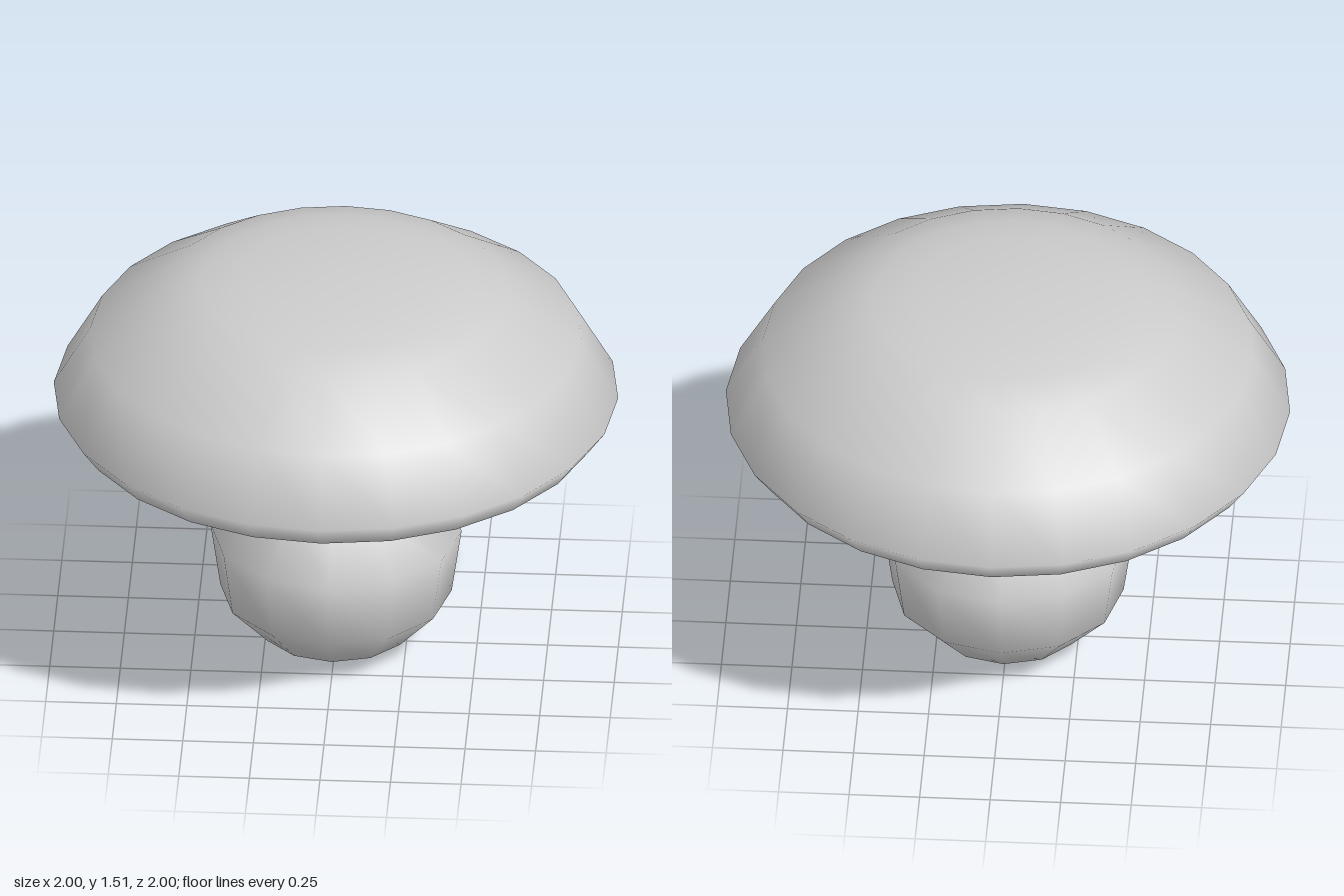
import * as THREE from 'three';
import { mergeVertices } from 'three/addons/utils/BufferGeometryUtils.js';

const material = new THREE.MeshStandardMaterial({ color: 0xcccccc });

// Lathe from [radius, height] pairs, listed bottom to top, first vertex on +x
function turned(profile, sides) {
  const points = profile.map(([r, y]) => new THREE.Vector2(r, y));
  return new THREE.LatheGeometry(points, sides, Math.PI / 2);
}

// Weld the seam and shade smoothly
function smooth(geometry) {
  geometry.deleteAttribute('uv');
  geometry.deleteAttribute('normal');
  const welded = mergeVertices(geometry, 1e-4);
  welded.computeVertexNormals();
  return welded;
}

function part(name, geometry) {
  const mesh = new THREE.Mesh(geometry, material);
  mesh.name = name;
  return mesh;
}

export function createModel() {
  const group = new THREE.Group();
  group.name = 'mushroom';

  // Domed cap with a short inward lip
  group.add(part('cap', smooth(turned([
    [0.94, 0.935], [1, 1.02], [0.87, 1.25], [0.61, 1.42],
    [0.48, 1.463], [0.33, 1.495], [0, 1.517],
  ], 24))));

  // Flat underside
  const underside = part('capUnderside', new THREE.CircleGeometry(0.94, 24));
  underside.rotation.x = Math.PI / 2;
  underside.position.y = 0.935;
  group.add(underside);

  // Six-sided stem, flaring slightly towards the cap
  group.add(part('stem', smooth(turned([[0.295, 0.64], [0.325, 0.935]], 6))));

  // Twelve-sided bulb whose top ring narrows to the stem's hexagon
  const bulb = turned([
    [0, 0.003], [0.27, 0.065], [0.41, 0.215], [0.445, 0.46], [0.295, 0.64],
  ], 12);
  const pos = bulb.attributes.position;
  const rings = 5;
  for (let i = 0; i <= 12; i++) {
    if (i % 2 === 0) continue;
    const v = i * rings + rings - 1;
    const k = Math.cos(Math.PI / 6);
    pos.setXYZ(v, pos.getX(v) * k, pos.getY(v), pos.getZ(v) * k);
  }
  group.add(part('bulb', smooth(bulb)));

  return group;
}
